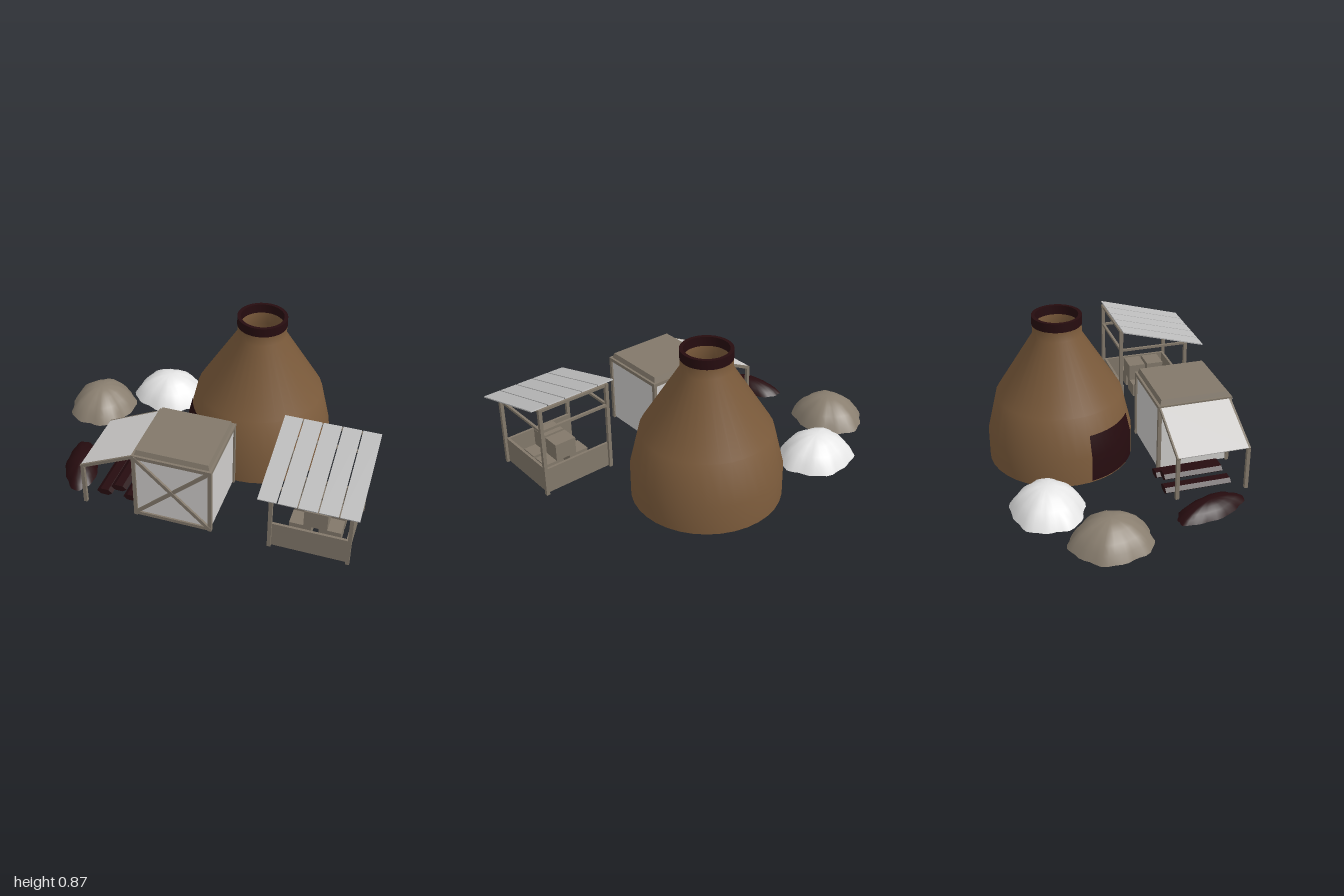
import * as THREE from 'three';
import { toCreasedNormals } from 'three/addons/utils/BufferGeometryUtils.js';

const mat = (name, color, side = THREE.FrontSide) => {
  const m = new THREE.MeshStandardMaterial({ color, side });
  m.name = name;
  return m;
};

export function createModel() {
  const root = new THREE.Group();
  const clay = mat('clay', 0x7d5c3c);
  const wood = mat('weathered wood', 0x82786a);
  const canvas = mat('canvas', 0xcfcdcb);
  const metal = mat('sheet metal', 0xbcbcbc);
  const chalk = mat('chalk', 0xe6e6e6);
  const sand = mat('sand', 0x8a7f70);
  const char = mat('charcoal', 0x260c0f, THREE.DoubleSide);

  const group = (name) => {
    const g = new THREE.Group();
    g.name = name;
    root.add(g);
    return g;
  };
  const add = (parent, name, geo, m) => {
    const mesh = new THREE.Mesh(geo, m);
    mesh.name = name;
    parent.add(mesh);
    return mesh;
  };
  // Box given by its min and max corners
  const box = (parent, name, m, a, b) => {
    const mesh = add(parent, name, new THREE.BoxGeometry(b[0] - a[0], b[1] - a[1], b[2] - a[2]), m);
    mesh.position.set((a[0] + b[0]) / 2, (a[1] + b[1]) / 2, (a[2] + b[2]) / 2);
    return mesh;
  };
  // Square timber between two points
  const beam = (parent, name, a, b, t = 0.02) => {
    const p = new THREE.Vector3(...a), q = new THREE.Vector3(...b);
    const mesh = add(parent, name, new THREE.BoxGeometry(t, t, p.distanceTo(q)), wood);
    mesh.position.copy(p).add(q).multiplyScalar(0.5);
    mesh.lookAt(q);
    return mesh;
  };
  const lathe = (pts, seg, start = 0, len = Math.PI * 2) =>
    new THREE.LatheGeometry(pts.map((p) => new THREE.Vector2(...p)), seg, start, len);

  // Kiln: hollow clay shell, dark chimney lip, dark mouth
  const kiln = group('kiln');
  kiln.position.set(0.21, 0, -0.285);
  add(kiln, 'kilnShell', toCreasedNormals(lathe([
    [0.42, 0], [0.42, 0.17], [0.365, 0.4], [0.14, 0.76], [0.14, 0.82],
    [0.122, 0.82], [0.122, 0.75], [0.3, 0.4], [0.318, 0.17], [0.318, 0], [0.42, 0],
  ], 36), 0.65), clay);
  add(kiln, 'chimneyLip', toCreasedNormals(lathe([
    [0.122, 0.82], [0.142, 0.82], [0.142, 0.873], [0.122, 0.873], [0.122, 0.82],
  ], 36), 0.6), char);
  add(kiln, 'kilnMouth', lathe([[0.424, 0.01], [0.424, 0.17], [0.396, 0.29]], 8,
    THREE.MathUtils.degToRad(282), THREE.MathUtils.degToRad(50)), char);

  // Canvas hut with timber frame and braced front
  const hut = group('hut');
  const [x0, x1, z0, z1] = [-0.23, 0.195, 0.185, 0.6];
  box(hut, 'hutWalls', canvas, [x0, 0.04, z0], [x1, 0.44, z1]);
  for (const x of [x0, x1]) {
    for (const z of [z0, z1]) beam(hut, 'hutPost', [x, 0.035, z], [x, 0.45, z]);
    beam(hut, 'hutTopRail', [x, 0.44, z0], [x, 0.44, z1]);
  }
  for (const z of [z0, z1]) beam(hut, 'hutTopRail', [x0, 0.44, z], [x1, 0.44, z]);
  beam(hut, 'hutSill', [x0, 0.05, z1], [x1, 0.05, z1]);
  beam(hut, 'hutBrace', [x0, 0.05, z1], [x1, 0.44, z1]);
  beam(hut, 'hutBrace', [x1, 0.05, z1 + 0.003], [x0, 0.44, z1 + 0.003]);
  // Slab roof narrowing slightly toward its top
  const roofGeo = new THREE.BoxGeometry(0.425, 0.04, 0.415);
  const rp = roofGeo.attributes.position;
  for (let i = 0; i < rp.count; i++) {
    if (rp.getY(i) > 0) rp.setXYZ(i, rp.getX(i) * 0.94, rp.getY(i), rp.getZ(i) * 0.94);
  }
  roofGeo.computeVertexNormals();
  add(hut, 'hutRoof', roofGeo, wood).position.set((x0 + x1) / 2, 0.458, (z0 + z1) / 2);

  // Lean-to beside the hut
  const leanTo = group('leanTo');
  for (const z of [0.19, 0.593]) {
    beam(leanTo, 'leanToPost', [-0.535, 0.035, z], [-0.535, 0.29, z]);
    beam(leanTo, 'leanToRafter', [-0.545, 0.288, z], [-0.23, 0.435, z], 0.018);
  }
  const sheet = add(leanTo, 'leanToCover', new THREE.BoxGeometry(0.345, 0.006, 0.4), canvas);
  sheet.position.set(-0.388, 0.368, 0.39);
  sheet.rotation.z = Math.atan2(0.147, 0.315);

  // Stacked logs under the lean-to
  const logs = group('logs');
  for (const [x, y, a, b] of [[-0.455, 0.058, 0.14, 0.52], [-0.295, 0.058, 0.14, 0.52], [-0.375, 0.091, 0.16, 0.5]]) {
    const geo = new THREE.CylinderGeometry(1, 1, b - a, 6).toNonIndexed();
    geo.rotateY(Math.PI / 6).rotateX(Math.PI / 2).rotateZ(Math.PI / 6).rotateZ(-Math.PI / 6);
    geo.scale(0.046, 0.021, 1);
    geo.computeVertexNormals();
    add(logs, 'log', geo, char).position.set(x, y, (a + b) / 2);
  }

  // Market stall: posts, rails, counter walls
  const stall = group('stall');
  const [sx0, sx1, sz0, sz1] = [0.525, 0.945, 0.185, 0.605];
  for (const x of [sx0, sx1]) {
    beam(stall, 'stallBackPost', [x, 0.035, sz0], [x, 0.575, sz0]);
    beam(stall, 'stallFrontPost', [x, 0.035, sz1], [x, 0.455, sz1]);
    beam(stall, 'stallRafter', [x, 0.568, sz0], [x, 0.452, sz1], 0.014);
    beam(stall, 'stallSideRail', [x, 0.44, sz0], [x, 0.44, sz1], 0.014);
  }
  for (const [y, z] of [[0.565, sz0], [0.44, sz0], [0.445, sz1]]) {
    beam(stall, 'stallCrossRail', [sx0, y, z], [sx1, y, z], 0.015);
  }
  box(stall, 'frontCounter', wood, [sx0, 0.04, 0.587], [0.93, 0.19, 0.602]);
  box(stall, 'sideCounter', wood, [0.925, 0.04, 0.19], [0.94, 0.19, 0.602]);
  box(stall, 'backCounter', wood, [sx0, 0.04, 0.19], [0.93, 0.19, 0.205]);

  // Five sloping roof panels
  for (let i = 0; i < 5; i++) {
    const panel = add(stall, 'roofPanel', new THREE.BoxGeometry(0.098, 0.007, 0.54), metal);
    panel.position.set(0.526 + i * 0.1045, 0.508, 0.445);
    panel.rotation.x = Math.atan2(0.146, 0.52);
  }

  // Crates behind the counter
  for (const z of [0.34, 0.46]) {
    for (const x of [0.665, 0.825]) box(stall, 'lowerCrate', wood, [x - 0.06, 0.06, z - 0.05], [x + 0.06, 0.14, z + 0.05]);
    box(stall, 'upperCrate', wood, [0.682, 0.14, z - 0.052], [0.81, 0.242, z + 0.052]);
  }

  // Lumpy heaps: a mound profile with wavy radius
  const heap = (name, m, x, z, rx, rz, h, seed, turn = 0) => {
    const geo = lathe([[0, 0], [1, 0], [0.88, 0.3], [0.72, 0.58], [0.48, 0.84], [0.25, 0.98], [0, 1]], 40);
    const p = geo.attributes.position;
    for (let i = 0; i < p.count; i++) {
      const a = Math.atan2(p.getZ(i), p.getX(i)), y = p.getY(i);
      const w = 1 + 0.035 * Math.sin(5 * a + seed) + 0.025 * Math.sin(11 * a + seed * 2 + y * 2);
      p.setXYZ(i, p.getX(i) * w, y, p.getZ(i) * w);
    }
    geo.scale(rx, h, rz);
    const mesh = add(root, name, toCreasedNormals(geo, 0.9), m);
    mesh.position.set(x, 0.038, z);
    mesh.rotation.y = turn;
  };
  heap('chalkHeap', chalk, -0.437, -0.505, 0.225, 0.2, 0.147, 1);
  heap('sandHeap', sand, -0.8, -0.255, 0.197, 0.22, 0.147, 3);
  heap('charcoalHeap', char, -0.68, 0.33, 0.095, 0.218, 0.068, 5, 0.33);

  return root;
}
